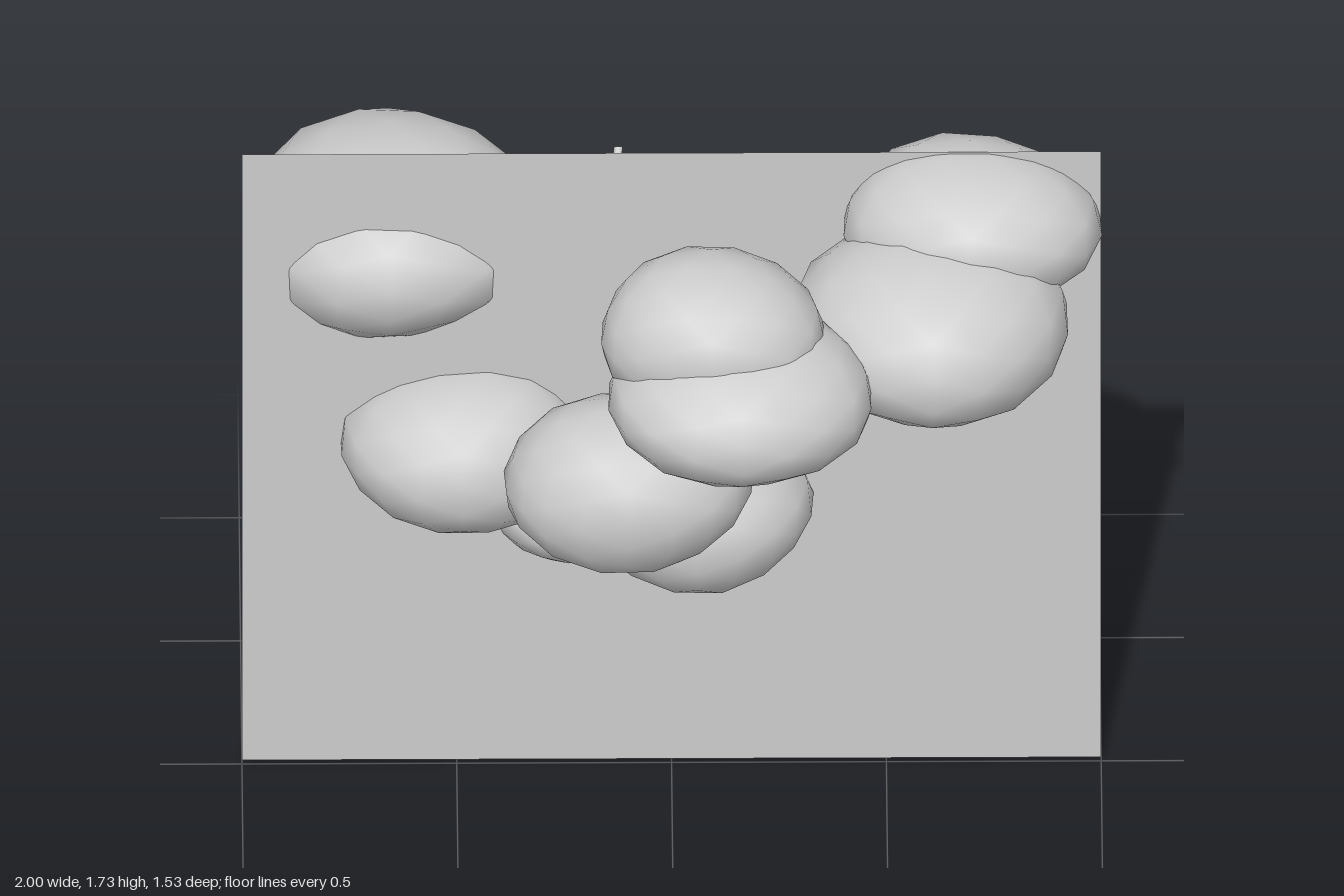
import * as THREE from 'three';
import { mergeVertices } from 'three/addons/utils/BufferGeometryUtils.js';

const V = (p) => new THREE.Vector3(...p);

// Rounded low-poly leaf clump with smooth normals and slight lumps
function clumpGeometry(r, seed) {
  let g = new THREE.IcosahedronGeometry(1, 2);
  g.deleteAttribute('normal');
  g.deleteAttribute('uv');
  g = mergeVertices(g, 1e-3);
  const pos = g.attributes.position;
  const v = new THREE.Vector3();
  for (let i = 0; i < pos.count; i++) {
    v.fromBufferAttribute(pos, i);
    const lump = 1.01 + 0.03 * Math.sin(3.1 * v.x + seed) * Math.cos(2.7 * v.z - seed * 1.7)
      + 0.02 * Math.sin(4 * v.y + 2 * v.x + seed * 2.3);
    v.multiplyScalar(lump);
    pos.setXYZ(i, v.x * r[0], v.y * r[1], v.z * r[2]);
  }
  g.rotateY(0);
  g.computeVertexNormals();
  return g;
}

// Tapered tube along a curve; radii are spread evenly along its length
function limb(name, points, radii, material, sides = 8) {
  const curve = new THREE.CatmullRomCurve3(points.map(V));
  const steps = 12;
  const g = new THREE.TubeGeometry(curve, steps, 1, sides, false);
  const pos = g.attributes.position;
  const v = new THREE.Vector3();
  const radiusAt = (t) => {
    const f = t * (radii.length - 1);
    const k = Math.min(Math.floor(f), radii.length - 2);
    return THREE.MathUtils.lerp(radii[k], radii[k + 1], f - k);
  };
  for (let i = 0; i <= steps; i++) {
    const c = curve.getPointAt(i / steps);
    for (let j = 0; j <= sides; j++) {
      const n = i * (sides + 1) + j;
      v.fromBufferAttribute(pos, n).sub(c).multiplyScalar(radiusAt(i / steps)).add(c);
      pos.setXYZ(n, v.x, v.y, v.z);
    }
  }
  g.computeVertexNormals();
  const group = new THREE.Group();
  group.name = name;
  group.add(new THREE.Mesh(g, material));
  // End caps facing outwards
  [[0, -1], [1, 1]].forEach(([t, sign]) => {
    const cap = new THREE.Mesh(new THREE.CircleGeometry(radiusAt(t), sides), material);
    const p = curve.getPointAt(t);
    cap.position.copy(p);
    cap.lookAt(p.clone().addScaledVector(curve.getTangentAt(t), sign));
    group.add(cap);
  });
  return group;
}

export function createModel() {
  const model = new THREE.Group();
  model.name = 'tree';
  const grey = new THREE.MeshStandardMaterial({ color: 0xcccccc, side: THREE.DoubleSide });
  grey.name = 'light grey';

  // Upright flat panel through the middle
  const panel = new THREE.Mesh(new THREE.PlaneGeometry(2, 1.72), grey);
  panel.name = 'panel';
  panel.position.y = 0.86;
  model.add(panel);

  // Trunk with a bend
  model.add(limb('trunk',
    [[-0.15, 0.025, -0.14], [-0.12, 0.14, -0.165], [-0.1, 0.26, -0.18], [-0.06, 0.4, -0.135]],
    [0.112, 0.09, 0.083, 0.06], grey, 12));

  // Branches: points, start radius, end radius
  const branches = [
    ['lowerFrontBranch', [[-0.06, 0.36, -0.12], [-0.01, 0.5, -0.06], [0.04, 0.7, 0.02]], 0.035, 0.03],
    ['lowerBackBranch', [[-0.06, 0.36, -0.14], [0, 0.52, -0.17], [0.1, 0.7, -0.21]], 0.045, 0.04],
    ['lowerRightBranch', [[-0.07, 0.36, -0.13], [-0.14, 0.48, -0.12], [-0.22, 0.62, -0.1]], 0.035, 0.028],
    ['rightBranch', [[-0.07, 0.36, -0.13], [-0.18, 0.62, -0.08], [-0.42, 0.88, -0.02]], 0.035, 0.025],
    ['frontBranch', [[-0.06, 0.36, -0.12], [-0.06, 0.65, 0.02], [-0.1, 0.95, 0.26]], 0.035, 0.025],
    ['upperLeftBranch', [[0.08, 0.68, -0.2], [0.24, 0.9, -0.17], [0.44, 1.08, -0.09], [0.6, 1.3, 0.06]], 0.035, 0.02],
    ['upperFrontBranch', [[0.2, 0.85, -0.18], [0.2, 1.08, -0.08], [0.14, 1.26, 0.14], [0.09, 1.48, 0.38]], 0.022, 0.015],
    ['backLeftBranch', [[0.15, 0.7, -0.25], [0.28, 0.83, -0.34], [0.43, 1.0, -0.44]], 0.025, 0.018],
    ['upperRightBranch', [[-0.38, 0.9, -0.05], [-0.5, 1.08, -0.13], [-0.62, 1.3, -0.23]], 0.025, 0.018],
    ['frontTwig', [[-0.06, 1.05, 0.34], [0, 1.18, 0.39], [0.06, 1.32, 0.45]], 0.025, 0.02],
    ['bareTwig', [[0, 0.74, -0.25], [-0.03, 0.88, -0.32], [-0.1, 1.02, -0.45], [-0.13, 1.13, -0.56], [-0.12, 1.27, -0.67]], 0.03, 0.01],
  ];
  branches.forEach(([name, pts, r0, r1]) => model.add(limb(name, pts, [r0, r1], grey)));

  // Leaf clumps: centre, radii
  const clumps = [
    [[-0.655, 1.35, -0.245], [0.345, 0.22, 0.345]],
    [[0.445, 1.045, -0.465], [0.325, 0.21, 0.295]],
    [[0.695, 1.535, 0.025], [0.3, 0.185, 0.24]],
    [[0.605, 1.385, 0.2], [0.32, 0.215, 0.315]],
    [[0.09, 1.5, 0.415], [0.265, 0.185, 0.22]],
    [[0.16, 1.375, 0.495], [0.31, 0.18, 0.27]],
    [[-0.105, 1.01, 0.32], [0.295, 0.197, 0.23]],
    [[-0.485, 0.9, 0.005], [0.285, 0.2, 0.235]],
    [[0.06, 0.755, 0.05], [0.265, 0.18, 0.235]],
    [[-0.24, 0.68, -0.11], [0.19, 0.135, 0.22]],
    [[0.135, 0.715, -0.24], [0.195, 0.135, 0.17]],
  ];
  clumps.forEach(([c, r], i) => {
    const clump = new THREE.Mesh(clumpGeometry(r, i * 1.3), grey);
    clump.name = 'leafClump' + (i + 1);
    clump.position.set(...c);
    model.add(clump);
  });
  return model;
}
